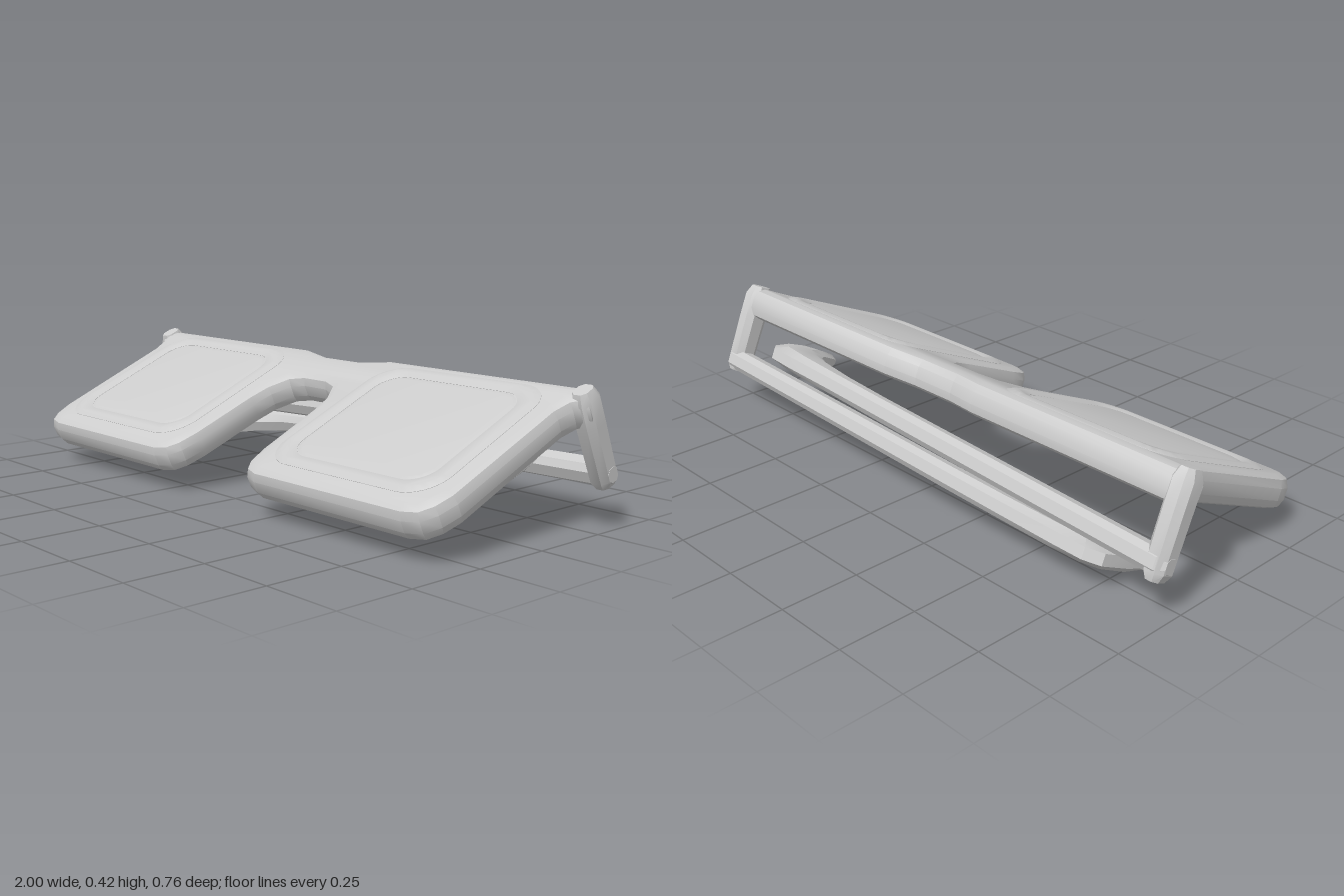
import * as THREE from 'three';
import { toCreasedNormals } from 'three/addons/utils/BufferGeometryUtils.js';

const material = new THREE.MeshStandardMaterial({ color: 0xcccccc });
const V = (x, y, z) => new THREE.Vector3(x, y, z);

function part(name, geometry) {
  const mesh = new THREE.Mesh(toCreasedNormals(geometry, 0.45), material);
  mesh.name = name;
  return mesh;
}

// Chamfered eight-sided ring around c, spanned by half-axes a and b
function ring(c, a, b, k = 0.5) {
  return [[1, -k], [1, k], [k, 1], [-k, 1], [-1, k], [-1, -k], [-k, -1], [k, -1]]
    .map(([s, t]) => c.clone().addScaledVector(a, s).addScaledVector(b, t));
}

// Skin over rings, with fan caps; flip reverses the winding
function loft(rings, flip) {
  const pos = [];
  const tri = (p, q, r) => (flip ? [p, r, q] : [p, q, r]).forEach((v) => pos.push(v.x, v.y, v.z));
  const n = rings[0].length;
  for (let i = 0; i < rings.length - 1; i++) {
    for (let j = 0; j < n; j++) {
      const k = (j + 1) % n, A = rings[i], B = rings[i + 1];
      tri(A[j], A[k], B[k]);
      tri(A[j], B[k], B[j]);
    }
  }
  const first = rings[0], last = rings[rings.length - 1];
  for (let j = 1; j < n - 1; j++) {
    tri(first[0], first[j + 1], first[j]);
    tri(last[0], last[j], last[j + 1]);
  }
  const g = new THREE.BufferGeometry();
  g.setAttribute('position', new THREE.Float32BufferAttribute(pos, 3));
  return g;
}

// Frame outline, mirrored about x = 0
function frameShape() {
  const half = [[0.08, 0.362], [0.2, 0.39], [0.97, 0.39], [0.997, 0.37], [0.997, 0.325], [0.96, 0.3],
    [0.945, 0.25], [0.94, -0.18], [0.925, -0.24], [0.895, -0.282], [0.84, -0.296], [0.25, -0.296],
    [0.2, -0.28], [0.172, -0.24], [0.158, -0.17], [0.147, 0.06], [0.135, 0.13], [0.1, 0.19], [0.05, 0.208]];
  const left = half.slice().reverse().map(([x, y]) => [-x, y]);
  return new THREE.Shape([...half, ...left].map(([x, y]) => new THREE.Vector2(x, y)));
}

function roundedRect(Path, cx, cy, w, h, r) {
  const p = new Path();
  for (const [sx, sy, a] of [[1, 1, 0], [-1, 1, 0.5], [-1, -1, 1], [1, -1, 1.5]]) {
    p.absarc(cx + sx * (w / 2 - r), cy + sy * (h / 2 - r), r, a * Math.PI, (a + 0.5) * Math.PI, false);
  }
  return p;
}

function extrude(shape, z0, z1, bevel, inset, segments) {
  const g = new THREE.ExtrudeGeometry(shape, {
    depth: z1 - z0 - 2 * bevel, bevelThickness: bevel, bevelSize: inset, bevelOffset: -inset,
    bevelSegments: segments, curveSegments: 5,
  });
  return g.translate(0, 0, z0 + bevel);
}

// Folded arm: [outer x, outer y, inner x, inner y, half thickness]
function temple(side, zStart, slope) {
  const stations = [
    [1.0, 0.375, 1.0, 0.335, 0.022], [0.975, 0.397, 0.975, 0.322, 0.035],
    [-0.2, 0.398, -0.2, 0.33, 0.035], [-0.42, 0.398, -0.4, 0.318, 0.035],
    [-0.64, 0.398, -0.53, 0.292, 0.036], [-0.75, 0.392, -0.63, 0.255, 0.036],
    [-0.795, 0.355, -0.69, 0.225, 0.036], [-0.81, 0.25, -0.725, 0.19, 0.035],
    [-0.81, 0.14, -0.74, 0.125, 0.024], [-0.785, 0.1, -0.76, 0.1, 0.01],
  ];
  const rings = stations.map(([ox, oy, ix, iy, h]) => {
    const o = V(side * ox, oy, 0), i = V(side * ix, iy, 0);
    const c = o.clone().add(i).multiplyScalar(0.5);
    c.z = zStart + slope * (1 - side * c.x) / 1.8;
    return ring(c, o.sub(i).multiplyScalar(0.5), V(0, 0, h));
  });
  return loft(rings, side > 0);
}

export function createModel() {
  const root = new THREE.Group();
  root.name = 'foldedGlasses';

  // Everything is built with the frame facing +z, then leaned back to rest
  const glasses = new THREE.Group();
  glasses.name = 'glasses';
  glasses.rotation.x = -Math.acos(0.4);
  root.add(glasses);

  // Solid front with a chamfered edge
  glasses.add(part('frame', extrude(frameShape(), 0.197, 0.302, 0.034, 0.034, 2)));

  // Rims raised slightly around each lens
  for (const s of [-1, 1]) {
    const name = s > 0 ? 'left' : 'right';
    const rim = roundedRect(THREE.Shape, s * 0.55, 0.06, 0.66, 0.575, 0.11);
    rim.holes.push(roundedRect(THREE.Path, s * 0.55, 0.06, 0.54, 0.47, 0.08));
    glasses.add(part(name + 'Rim', extrude(rim, 0.29, 0.31, 0.007, 0.02, 1)));

    const lens = roundedRect(THREE.Shape, s * 0.55, 0.06, 0.54, 0.47, 0.08);
    glasses.add(part(name + 'Lens', extrude(lens, 0.28, 0.305, 0.004, 0.012, 1)));

    // End piece running back from the frame corner to the hinge
    const rings = [[-0.005, 0.022, 0.028], [0.02, 0.035, 0.039], [0.2, 0.036, 0.043],
      [0.275, 0.036, 0.043], [0.307, 0.024, 0.03]]
      .map(([z, hx, hy]) => ring(V(s * 0.964, 0.354, z), V(hx, 0, 0), V(0, hy, 0)));
    glasses.add(part(name + 'EndPiece', loft(rings, false)));
  }

  // Arms folded across the back, one outside the other
  glasses.add(part('leftTemple', temple(1, 0.035, -0.055)));
  glasses.add(part('rightTemple', temple(-1, 0.045, 0.075)));
  return root;
}
